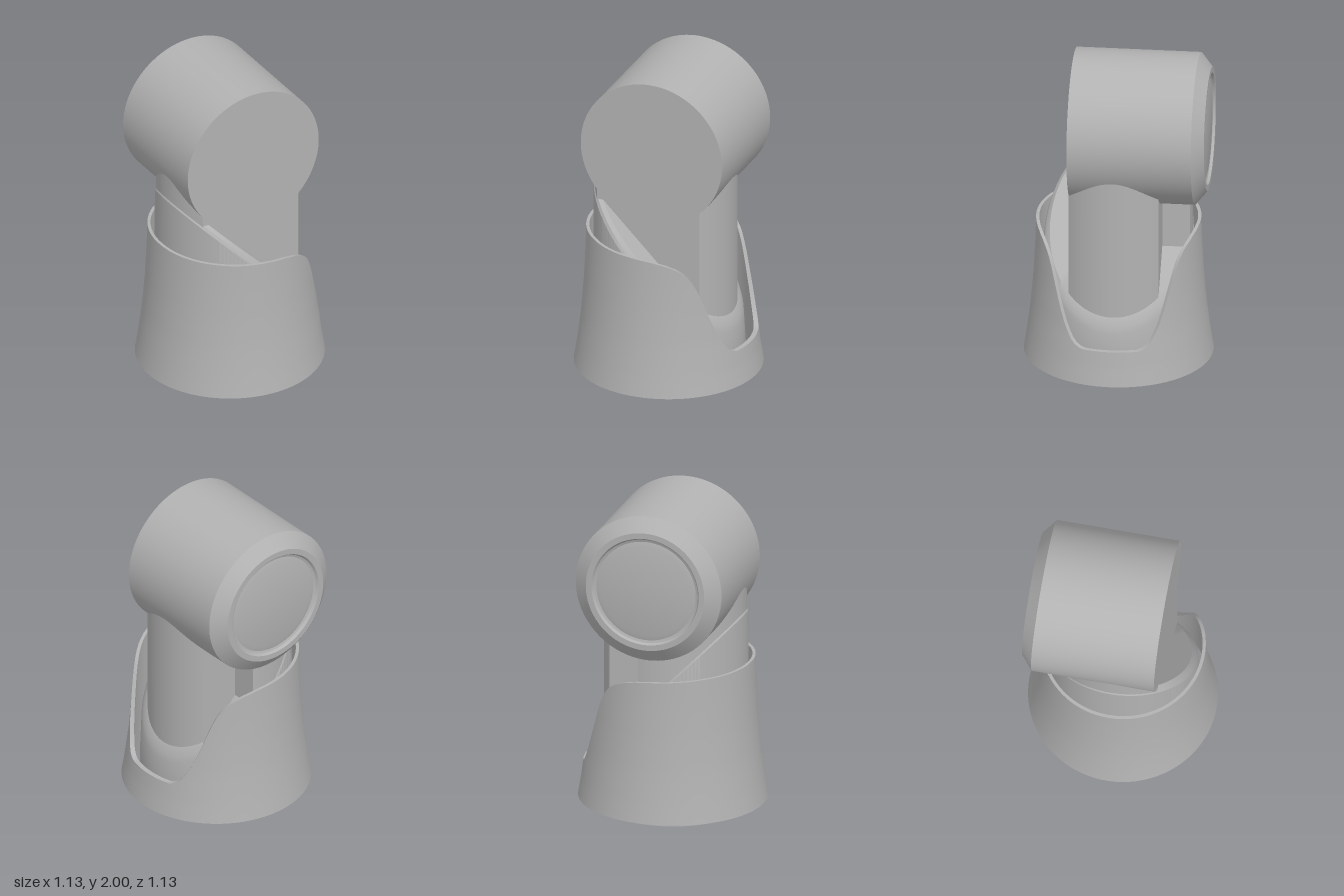
import * as THREE from 'three';
import { toCreasedNormals } from 'three/addons/utils/BufferGeometryUtils.js';

const SEG = 120;

// Closed ring surface: rows of points (radius, height) that may vary with angle a
function ringSurface(rows, closed) {
  const pos = [], idx = [];
  for (const row of rows) {
    for (let i = 0; i <= SEG; i++) {
      const a = (i / SEG) * Math.PI * 2;
      const [r, y] = row(a);
      pos.push(r * Math.cos(a), y, r * Math.sin(a));
    }
  }
  const count = closed ? rows.length : rows.length - 1;
  for (let j = 0; j < count; j++) {
    const k = (j + 1) % rows.length;
    for (let i = 0; i < SEG; i++) {
      const a = j * (SEG + 1) + i, d = k * (SEG + 1) + i;
      idx.push(a, d, a + 1, a + 1, d, d + 1);
    }
  }
  const g = new THREE.BufferGeometry();
  g.setAttribute('position', new THREE.Float32BufferAttribute(pos, 3));
  g.setIndex(idx);
  return toCreasedNormals(g, 0.5);
}

// Piecewise-linear lookup
function lookup(table, v) {
  for (let i = 1; i < table.length; i++) {
    const [x0, y0] = table[i - 1], [x1, y1] = table[i];
    if (v <= x1) return y0 + (y1 - y0) * (v - x0) / (x1 - x0);
  }
  return table[table.length - 1][1];
}

export function createModel() {
  const model = new THREE.Group();
  const grey = new THREE.MeshStandardMaterial({ color: 0xb2b2b2 });
  grey.name = 'grey';
  const add = (name, geometry) => {
    const mesh = new THREE.Mesh(geometry, grey);
    mesh.name = name;
    model.add(mesh);
    return mesh;
  };

  // Flared skirt with a scooped opening on the +x side
  const rim = [[0, 0.3], [18, 0.3], [23, 0.315], [28, 0.36], [33, 0.44], [38, 0.54], [42, 0.63],
    [47, 0.74], [51, 0.805], [55, 0.85], [61, 0.89], [69, 0.92], [80, 0.943], [95, 0.955], [130, 0.967], [180, 0.975]];
  const flare = [[0.085, 0.565], [0.2, 0.547], [0.4, 0.522], [0.6, 0.506], [0.8, 0.496], [1, 0.49]];
  const topAt = a => {
    const deg = a * 180 / Math.PI;
    return lookup(rim, deg > 180 ? 360 - deg : deg);
  };
  const steps = 12, skirtRows = [];
  const wall = (t, inset) => a => {
    const y = 0.085 + t * (topAt(a) - 0.085);
    const r = lookup(flare, y);
    return [r - inset * (1 + (r - 0.49) * 12), y];
  };
  for (let s = 0; s <= steps; s++) skirtRows.push(wall(s / steps, 0));
  for (let s = steps; s >= 0; s--) skirtRows.push(wall(s / steps, 0.019));
  add('skirt', ringSurface(skirtRows, true));

  // Inner body, cut off at 45 degrees with a bevelled edge
  const slanted = (r, h) => a => [r, h - r * Math.cos(a)];
  add('innerBody', ringSurface([
    () => [0, 0.04], () => [0.455, 0.04], () => [0.455, 0.25],
    slanted(0.446, 0.82), slanted(0.435, 0.85), slanted(0.41, 0.88), slanted(0, 0.88),
  ], false));

  // Round foot under the body
  const foot = add('foot', new THREE.CylinderGeometry(0.32, 0.32, 0.06, 80));
  foot.position.y = 0.03;

  // Neck: flat front, narrower slab towards +x, round at the back
  const s = new THREE.Shape();
  const right = Math.asin(0.268 / 0.41), left = Math.asin(0.268 / 0.44);
  s.absarc(0, 0, 0.41, -right, right, false);
  s.lineTo(0.08, 0.268);
  s.absarc(0, 0, 0.44, Math.acos(0.08 / 0.44), Math.PI + left, false);
  s.closePath();
  const neck = new THREE.ExtrudeGeometry(s, { depth: 1.02, bevelEnabled: false, curveSegments: 40 });
  neck.rotateX(-Math.PI / 2);
  neck.translate(0, 0.46, 0);
  add('neck', toCreasedNormals(neck, 0.5));

  // Cylindrical head lying along z, bevelled at the back with a shallow dished cap
  const profile = [[0, -0.268], [0.455, -0.268], [0.455, 0.475], [0.37, 0.545], [0.335, 0.545],
    [0.325, 0.53], [0.31, 0.525], [0.28, 0.532], [0, 0.535]].map(p => new THREE.Vector2(...p));
  const head = new THREE.LatheGeometry(profile, 96);
  head.rotateX(-Math.PI / 2);
  head.translate(0, 1.545, 0);
  add('head', toCreasedNormals(head, 0.5));

  return model;
}
